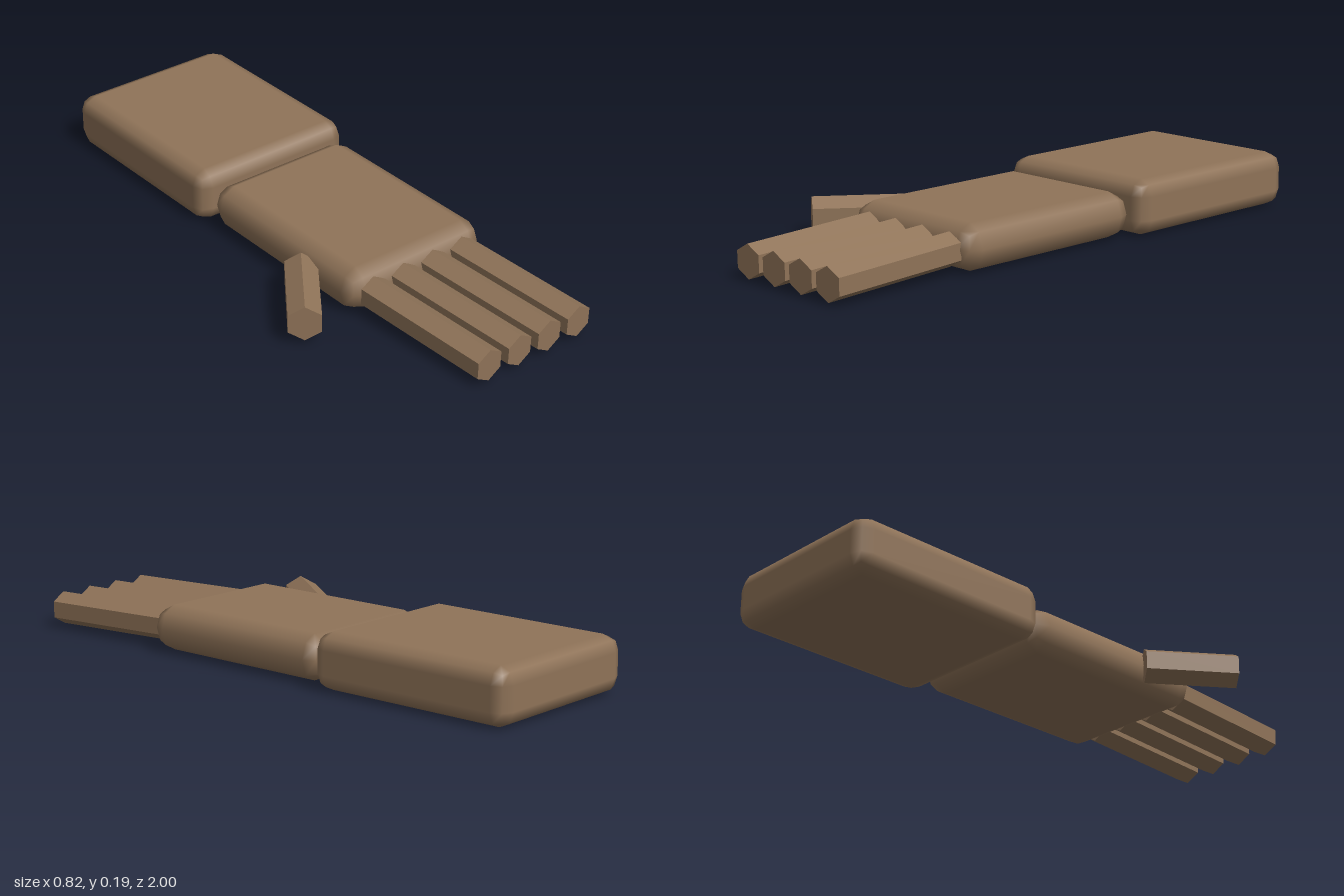
import * as THREE from 'three';
import { RoundedBoxGeometry } from 'three/addons/geometries/RoundedBoxGeometry.js';

const skin = new THREE.MeshStandardMaterial({ color: 0x8f7358 });
skin.name = 'brown skin';

// Box with softly rounded edges; the edge radius is stretched vertically
function roundedBlock(name, width, height, depth, radius, radiusY, center) {
  const stretch = radiusY / radius;
  const geometry = new RoundedBoxGeometry(width, height / stretch, depth, 1, radius);
  geometry.scale(1, stretch, 1);
  const mesh = new THREE.Mesh(geometry, skin);
  mesh.name = name;
  mesh.position.set(...center);
  return mesh;
}

// Faceted hexagonal bar from base to tip, with a corner edge on top
function hexBar(name, radius, base, tip) {
  const a = new THREE.Vector3(...base);
  const b = new THREE.Vector3(...tip);
  const geometry = new THREE.CylinderGeometry(radius, radius, a.distanceTo(b), 6)
    .rotateX(Math.PI / 2)
    .toNonIndexed();
  geometry.computeVertexNormals();
  const mesh = new THREE.Mesh(geometry, skin);
  mesh.name = name;
  mesh.position.copy(a).lerp(b, 0.5);
  mesh.lookAt(b);
  return mesh;
}

export function createModel() {
  const model = new THREE.Group();
  model.name = 'handAndForearm';

  // Forearm and palm, end to end
  model.add(roundedBlock('forearm', 0.622, 0.188, 0.745, 0.05, 0.054, [0.1, 0.094, -0.6275]));
  model.add(roundedBlock('palm', 0.562, 0.154, 0.745, 0.06, 0.0769, [0.1, 0.08, 0.1225]));

  // Four parallel fingers, dipping slightly toward the tips
  const names = ['indexFinger', 'middleFinger', 'ringFinger', 'littleFinger'];
  names.forEach((name, i) => {
    const x = -0.063 + i * 0.1245;
    model.add(hexBar(name, 0.0565, [x - 0.026, 0.075, 0.485], [x, 0.063, 0.997]));
  });

  // Thumb, angled out to the side
  model.add(hexBar('thumb', 0.0615, [-0.185, 0.075, 0.243], [-0.37, 0.075, 0.493]));

  return model;
}
